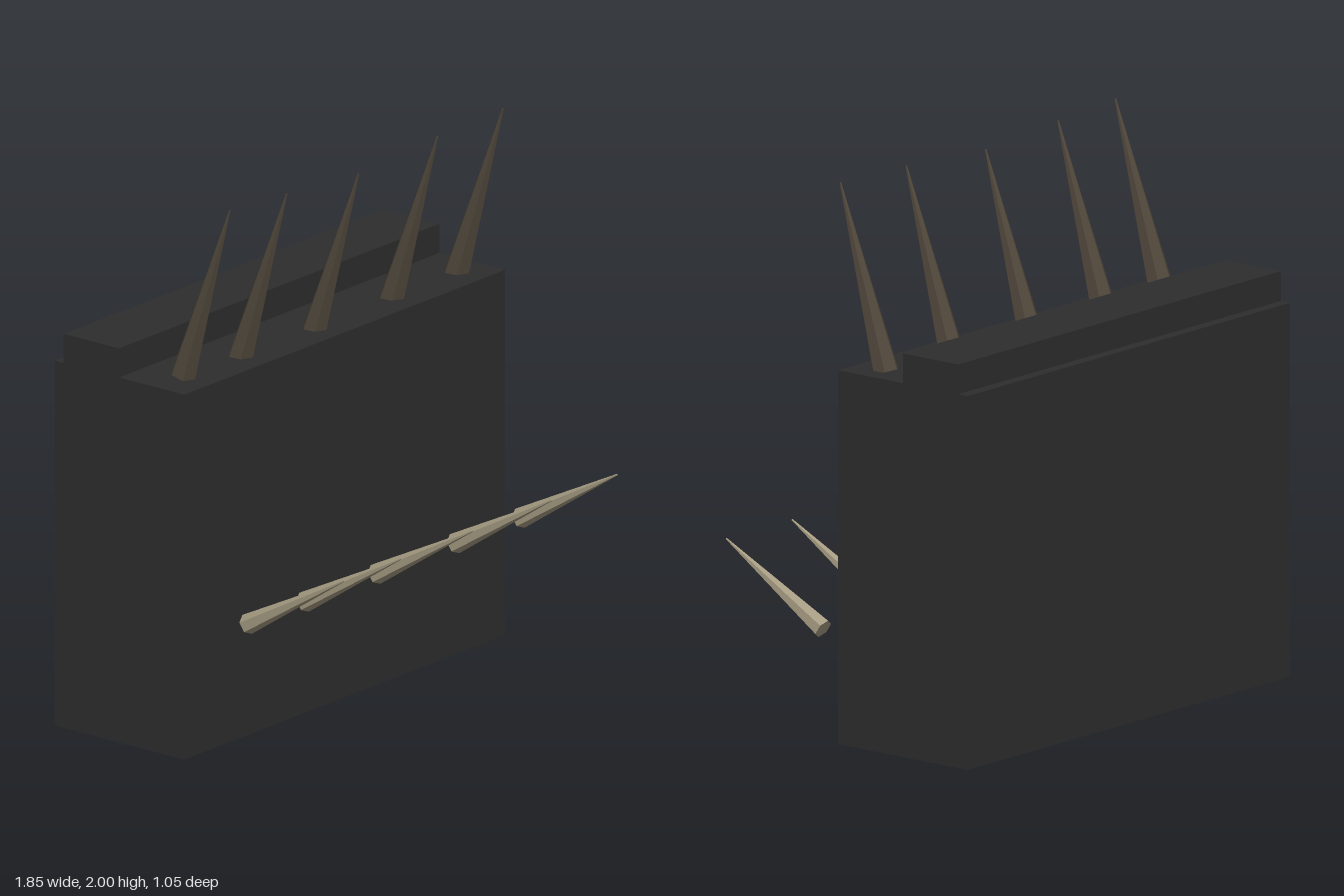
import * as THREE from 'three';

const charcoal = new THREE.MeshStandardMaterial({ color: 0x2d2d2d });
charcoal.name = 'charcoal';
const darkHorn = new THREE.MeshStandardMaterial({ color: 0x51483c });
darkHorn.name = 'dark horn';
const paleHorn = new THREE.MeshStandardMaterial({ color: 0xa59b81 });
paleHorn.name = 'pale horn';

// Box given by its bounds on y and z
function slab(name, y0, y1, z0, z1) {
  const mesh = new THREE.Mesh(new THREE.BoxGeometry(1.76, y1 - y0, z1 - z0), charcoal);
  mesh.position.set(-0.045, (y0 + y1) / 2, (z0 + z1) / 2);
  mesh.name = name;
  return mesh;
}

// Faceted spike whose base centre sits at the origin
function spikeGeometry(radius, length) {
  const g = new THREE.CylinderGeometry(0.003, radius, length, 6, 1, false, 0.1).toNonIndexed();
  g.translate(0, length / 2, 0);
  g.computeVertexNormals();
  return g;
}

// Row of spikes leaning forward; each base is [x, y]
function spikeRow(name, bases, z, geometry, tilt, material) {
  const row = new THREE.Group();
  row.name = name + 'Row';
  for (const [x, y] of bases) {
    const spike = new THREE.Mesh(geometry, material);
    spike.position.set(x, y, z);
    spike.rotation.x = tilt;
    spike.name = name;
    row.add(spike);
  }
  return row;
}

export function createModel() {
  const model = new THREE.Group();
  model.name = 'spikedWall';

  // Wall with a raised ledge along its top
  model.add(slab('wall', 0, 1.343, -0.525, 0.062));
  model.add(slab('topLedge', 1.343, 1.45, -0.483, -0.233));

  // Upper spikes, sunk to slightly different depths
  const upper = [[-0.777, 1.352], [-0.465, 1.332], [-0.07, 1.304], [0.363, 1.328], [0.722, 1.336]];
  model.add(spikeRow('upperSpike', upper, -0.062, spikeGeometry(0.048, 0.68), 0.31, darkHorn));

  // Lower spikes, offset sideways along the front
  const lower = [-0.608, -0.296, 0.097, 0.53, 0.888].map((x) => [x, 0.42]);
  model.add(spikeRow('lowerSpike', lower, 0.085, spikeGeometry(0.037, 0.508), 1.045, paleHorn));

  return model;
}
